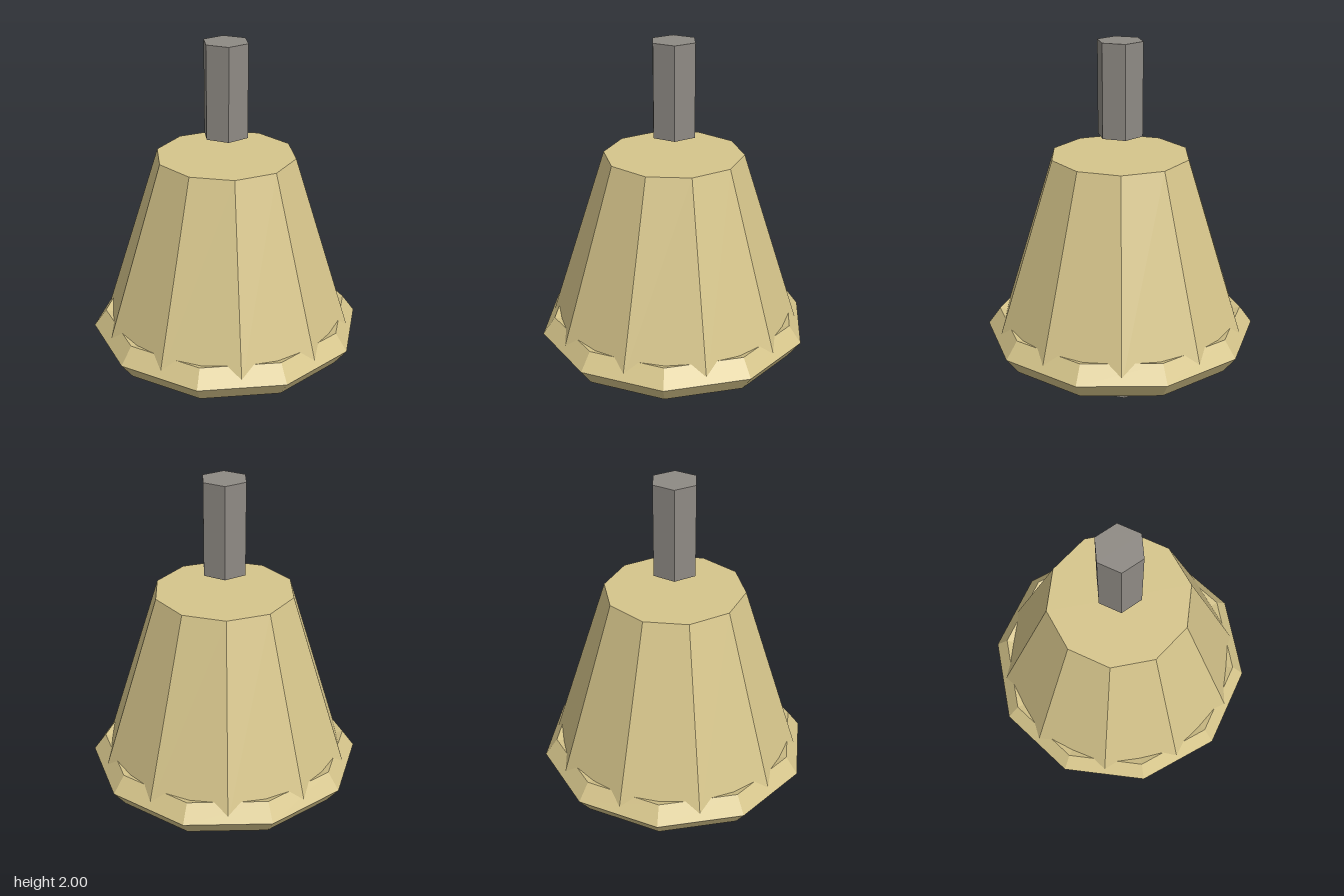
import * as THREE from 'three';

export function createModel() {
  const model = new THREE.Group();
  const brass = new THREE.MeshStandardMaterial({ color: 0xd6c58b, flatShading: true });
  brass.name = 'pale brass';
  const steel = new THREE.MeshStandardMaterial({ color: 0x8e8a84, flatShading: true });
  steel.name = 'grey steel';

  const add = (name, geometry, material, y) => {
    const mesh = new THREE.Mesh(geometry, material);
    mesh.name = name;
    mesh.position.y = y;
    model.add(mesh);
  };

  // Ten-sided tapered bell body, closed at both ends
  const bottom = 0.4225, top = 1.406;
  add('bellBody', new THREE.CylinderGeometry(0.37, 0.687, top - bottom, 10), brass, (top + bottom) / 2);

  // Faceted lip: a five-sided tube turned half a facet from the body
  add('bellLip', new THREE.TorusGeometry(0.638, 0.097, 5, 10).rotateX(Math.PI / 2), brass, bottom);

  // Matching hexagonal rods: hanger above, clapper below
  const rodLength = 0.49;
  for (const [name, y] of [['hangerRod', 2 - rodLength / 2], ['clapperRod', rodLength / 2]]) {
    add(name, new THREE.CylinderGeometry(0.122, 0.122, rodLength, 6), steel, y);
  }
  return model;
}
